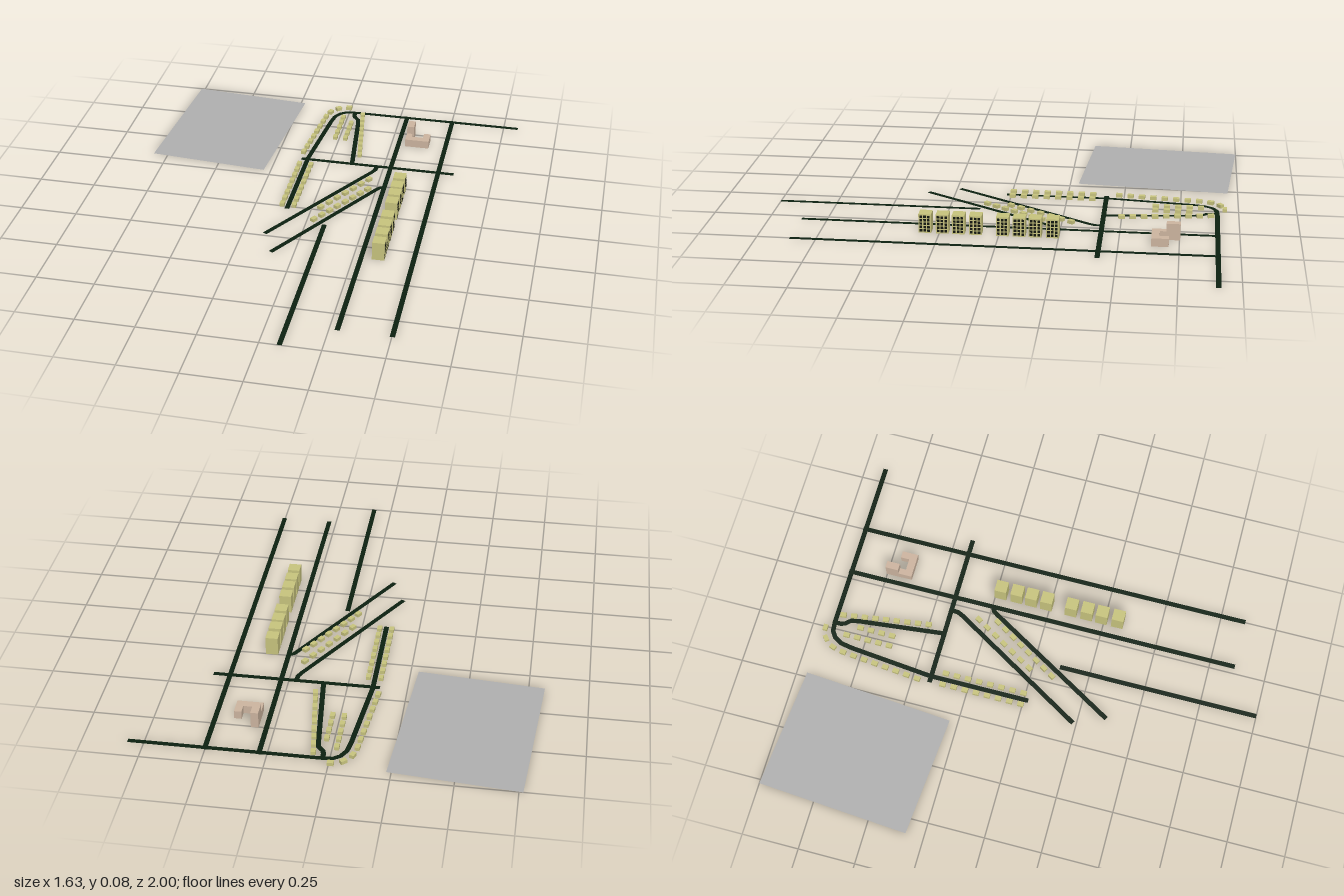
import * as THREE from 'three';

const material = (name, color) => {
  const m = new THREE.MeshStandardMaterial({ color, side: THREE.DoubleSide });
  m.name = name;
  return m;
};

export function createModel() {
  const town = new THREE.Group();
  town.name = 'town';
  const asphalt = material('dark green road', 0x0c2010);
  const ground = material('grey field', 0xb0b0b0);
  const yellow = material('yellow wall', 0xc8c47e);
  const tan = material('tan wall', 0xcdb5a0);
  const dark = material('dark window', 0x10140c);

  const group = (name) => {
    const g = new THREE.Group();
    g.name = name;
    town.add(g);
    return g;
  };

  // Flat ribbon of constant width along x, z points
  function road(name, points, width = 0.021) {
    const pts = points.map(([x, z]) => new THREE.Vector2(x, z));
    const pos = [], index = [];
    pts.forEach((p, i) => {
      const before = p.clone().sub(pts[Math.max(i - 1, 0)]).normalize();
      const after = pts[Math.min(i + 1, pts.length - 1)].clone().sub(p).normalize();
      const t = before.add(after).normalize();
      const nx = -t.y * width / 2, nz = t.x * width / 2;
      pos.push(p.x - nx, 0.001, p.y - nz, p.x + nx, 0.001, p.y + nz);
      if (i) {
        const a = 2 * i - 2;
        index.push(a, a + 1, a + 2, a + 1, a + 3, a + 2);
      }
    });
    const g = new THREE.BufferGeometry();
    g.setAttribute('position', new THREE.Float32BufferAttribute(pos, 3));
    g.setIndex(index);
    g.computeVertexNormals();
    const mesh = new THREE.Mesh(g, asphalt);
    mesh.name = name;
    town.add(mesh);
  }

  // Box standing on the ground with no floor
  function shell(w, h, d) {
    const g = new THREE.BoxGeometry(w, h, d).translate(0, h / 2, 0);
    const idx = Array.from(g.index.array);
    idx.splice(18, 6);
    g.setIndex(idx);
    g.clearGroups();
    return g;
  }

  function place(parent, name, geometry, mat, x, z, turn = 0) {
    const mesh = new THREE.Mesh(geometry, mat);
    mesh.name = name;
    mesh.position.set(x, 0, z);
    mesh.rotation.y = turn;
    parent.add(mesh);
    return mesh;
  }

  // Straight roads
  road('longRoadInner', [[0.283, -0.92], [0.283, 0.86]]);
  road('longRoadOuter', [[0.502, -0.92], [0.502, 0.86]]);
  road('shortFrontRoad', [[0.082, 0.115], [0.082, 1]]);
  road('crossRoad', [[-0.135, -0.422], [0.573, -0.422]]);

  // Roads with bends
  road('ringRoad', [[-0.106, 0.02], [-0.106, -0.43], [-0.069, -0.8], [-0.06, -0.85],
    [-0.04, -0.885], [-0.012, -0.904], [0.03, -0.908], [0.817, -0.908]]);
  road('innerLane', [[0.103, -0.422], [0.062, -0.80], [0.055, -0.84], [0.035, -0.862],
    [0.029, -0.88], [0.029, -0.908]]);
  road('diagonalRoadBack', [[-0.155, 0.235], [0.205, -0.365], [0.217, -0.39], [0.219, -0.422]]);
  road('diagonalRoadFront', [[-0.098, 0.37], [0.247, -0.212], [0.262, -0.235], [0.283, -0.245]]);

  // Slightly turned field beside the streets
  const field = new THREE.Shape([[-0.817, 0.33], [-0.283, 0.287], [-0.23, 0.955], [-0.767, 1]]
    .map(([x, y]) => new THREE.Vector2(x, y)));
  place(town, 'field', new THREE.ShapeGeometry(field).rotateX(-Math.PI / 2), ground, 0, 0);

  // Rows of small houses lined up with their street
  const houses = group('houses');
  const houseGeometry = shell(0.02, 0.015, 0.027);
  function row(count, x0, z0, x1, z1) {
    const turn = Math.atan2(x1 - x0, z1 - z0);
    for (let i = 0; i < count; i++) {
      const f = i / (count - 1);
      place(houses, 'house', houseGeometry, yellow, x0 + (x1 - x0) * f, z0 + (z1 - z0) * f, turn);
    }
  }
  row(8, -0.132, -0.362, -0.132, -0.008);
  row(8, -0.079, -0.362, -0.079, -0.008);
  row(8, -0.135, -0.478, -0.1, -0.83);
  row(5, -0.018, -0.838, -0.018, -0.642);
  row(4, 0.03, -0.788, 0.03, -0.642);
  row(9, 0.07, -0.88, 0.124, -0.5);
  row(7, 0.205, -0.29, 0.04, -0.015);
  row(8, 0.215, -0.205, 0.03, 0.09);
  // Houses round the bend
  place(houses, 'house', houseGeometry, yellow, -0.088, -0.88, -0.35);
  place(houses, 'house', houseGeometry, yellow, -0.056, -0.922, -0.9);
  place(houses, 'house', houseGeometry, yellow, -0.008, -0.94, Math.PI / 2);

  // Tall blocks with a grid of windows on the side facing the outer road
  const blocks = group('apartmentBlocks');
  const blockGeometry = shell(0.053, 0.083, 0.053);
  const windowGeometry = new THREE.PlaneGeometry(0.011, 0.011).rotateY(Math.PI / 2);
  for (const z of [-0.225, -0.152, -0.085, -0.015, 0.098, 0.17, 0.238, 0.311]) {
    const block = place(blocks, 'apartmentBlock', blockGeometry, yellow, 0.355, z);
    for (let r = 0; r < 5; r++) for (let c = -1; c <= 1; c++) {
      place(block, 'window', windowGeometry, dark, 0.0273, c * 0.016).position.y = 0.011 + r * 0.0152;
    }
  }

  // U-shaped school with a tower: x from/to, z from/to, height
  const school = group('school');
  for (const [name, x0, x1, z0, z1, h] of [
    ['tower', 0.315, 0.347, -0.753, -0.695, 0.072],
    ['leftWing', 0.315, 0.342, -0.695, -0.668, 0.036],
    ['mainHall', 0.315, 0.425, -0.668, -0.635, 0.036],
    ['rightWing', 0.394, 0.425, -0.707, -0.668, 0.036],
  ]) place(school, name, shell(x1 - x0, h, z1 - z0), tan, (x0 + x1) / 2, (z0 + z1) / 2);

  return town;
}
